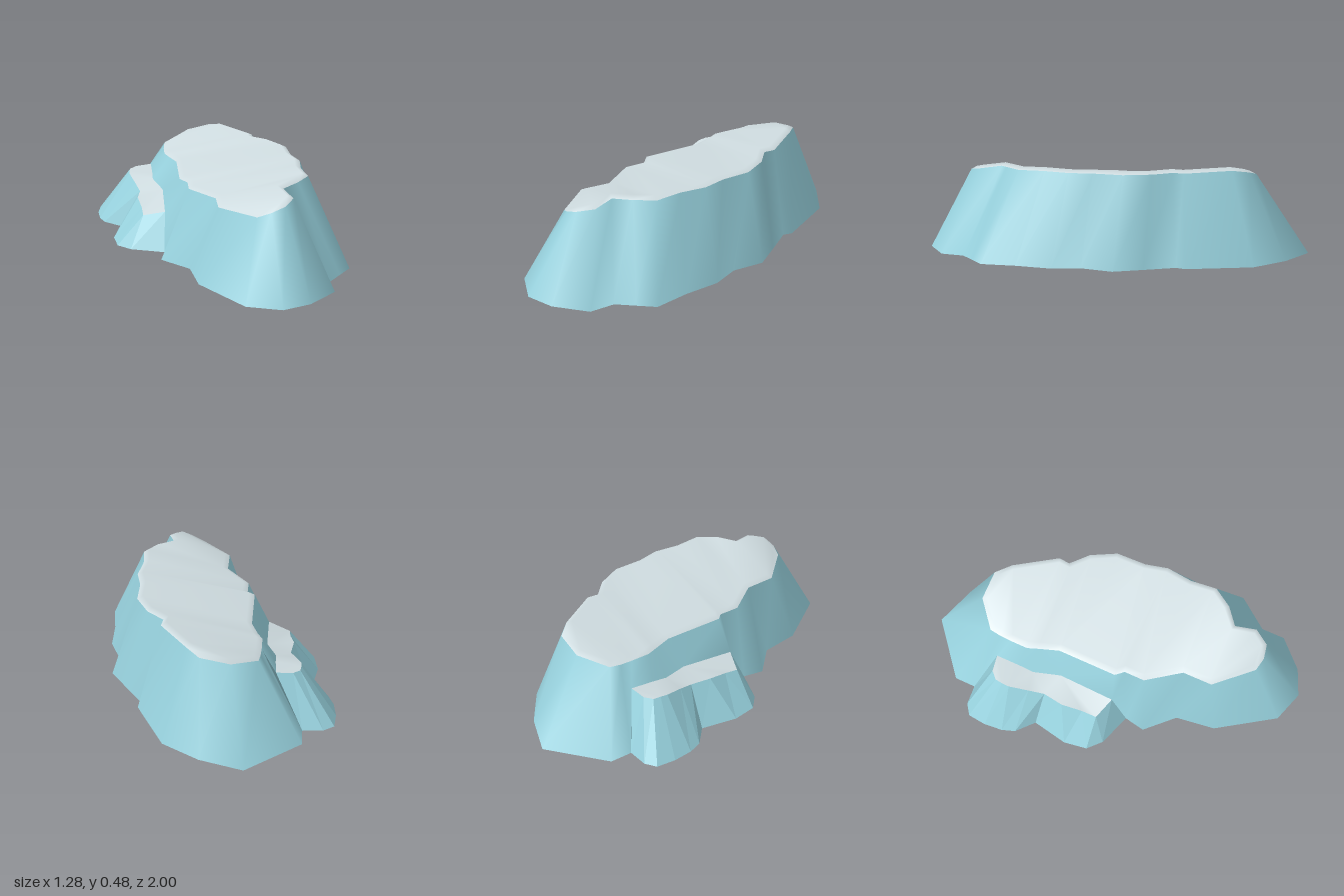
import * as THREE from 'three';

// Main outline, clockwise from the back: [rim x, rim z, rim y, foot x, foot z, foot y]
const OUTLINE = [
  [-0.12, -0.73, 0.42, -0.20, -1.00, 0],
  [0.03, -0.73, 0.45, 0.02, -0.93, 0],
  [0.10, -0.66, 0.465, 0.21, -0.81, 0],
  [0.245, -0.45, 0.46, 0.37, -0.50, 0],
  [0.24, -0.39, 0.46, 0.36, -0.45, 0],
  [0.33, -0.31, 0.46, 0.46, -0.31, 0],
  [0.40, -0.18, 0.46, 0.55, -0.18, 0],
  [0.405, -0.02, 0.46, 0.54, -0.01, 0],
  [0.435, 0.10, 0.46, 0.60, 0.13, 0],
  [0.42, 0.24, 0.46, 0.61, 0.32, 0],
  [0.435, 0.38, 0.46, 0.64, 0.50, 0],
  [0.37, 0.48, 0.46, 0.575, 0.585, 0],
  [0.285, 0.55, 0.45, 0.51, 0.67, 0],
  [0.32, 0.66, 0.435, 0.51, 0.80, 0],
  [0.27, 0.74, 0.42, 0.37, 0.94, 0],
  [0.20, 0.755, 0.395, 0.23, 1.00, 0],
  [0.135, 0.74, 0.37, 0.06, 0.945, 0],
  [-0.035, 0.56, 0.365, -0.14, 0.65, 0],
  [-0.035, 0.40, 0.36, -0.17, 0.44, 0],
  [-0.16, 0.23, 0.36, -0.31, 0.30, 0],
  [-0.16, 0.12, 0.36, -0.29, 0.19, 0],
];
// Stretch above the side ledge, where the wall stops at the ledge top
const ABOVE_LEDGE = [
  [-0.20, 0.08, 0.37, -0.28, 0.10, 0.195],
  [-0.20, -0.24, 0.37, -0.28, -0.20, 0.225],
  [-0.235, -0.34, 0.37, -0.33, -0.34, 0.245],
  [-0.26, -0.40, 0.375, -0.33, -0.42, 0.255],
  [-0.26, -0.50, 0.375, -0.335, -0.55, 0.272],
];
const BACK_CORNER = [
  [-0.257, -0.56, 0.375, -0.475, -0.65, 0],
  [-0.25, -0.62, 0.38, -0.475, -0.765, 0],
];
// Ledge outline, front to back, same columns
const LEDGE = [
  [-0.28, 0.10, 0.195, -0.29, 0.19, 0],
  [-0.395, 0.06, 0.165, -0.465, 0.13, 0],
  [-0.40, -0.02, 0.18, -0.535, 0.065, 0],
  [-0.42, -0.13, 0.205, -0.555, -0.06, 0],
  [-0.405, -0.24, 0.205, -0.52, -0.25, 0],
  [-0.43, -0.32, 0.23, -0.61, -0.33, 0],
  [-0.46, -0.42, 0.255, -0.635, -0.40, 0],
  [-0.46, -0.46, 0.26, -0.645, -0.50, 0],
  [-0.455, -0.50, 0.26, -0.635, -0.60, 0],
  [-0.42, -0.535, 0.265, -0.58, -0.64, 0],
  [-0.335, -0.55, 0.272, -0.475, -0.65, 0],
];

const top = (r) => new THREE.Vector3(r[0], r[2], r[1]);
const foot = (r) => new THREE.Vector3(r[3], r[5], r[4]);

function makeGeometry(points, index) {
  const geo = new THREE.BufferGeometry().setFromPoints(points);
  geo.setIndex(index);
  geo.computeVertexNormals();
  return geo;
}

// Quads between a lower ring (indices 0..n-1) and an upper ring (n..2n-1)
function bandIndex(n, closed) {
  const index = [];
  for (let i = 0; i < (closed ? n : n - 1); i++) {
    const j = (i + 1) % n;
    index.push(j, i, n + i, j, n + i, n + j);
  }
  return index;
}

// Triangles across two chains of points, both running from back to front
function bridgeIndex(points, left, right) {
  const index = [];
  let l = 0, r = 0;
  while (l < left.length - 1 || r < right.length - 1) {
    const stepLeft = r === right.length - 1 ||
      (l < left.length - 1 && points[left[l + 1]].z < points[right[r + 1]].z);
    if (stepLeft) index.push(left[l], left[l + 1], right[r]), l++;
    else index.push(left[l], right[r + 1], right[r]), r++;
  }
  return index;
}

// Moves a closed ring inward in plan and lifts it a little
function insetRing(ring, distance, lift) {
  const n = ring.length;
  return ring.map((p, i) => {
    const a = ring[(i + n - 1) % n], b = ring[(i + 1) % n];
    const dx = b.x - a.x, dz = b.z - a.z, len = Math.hypot(dx, dz);
    return new THREE.Vector3(p.x - (dz / len) * distance, p.y + lift, p.z + (dx / len) * distance);
  });
}

const range = (from, to) => Array.from({ length: to - from + 1 }, (_, i) => from + i);

export function createModel() {
  const ice = new THREE.MeshStandardMaterial({ color: 0x97d1dd, side: THREE.DoubleSide });
  ice.name = 'pale blue';
  const frost = new THREE.MeshStandardMaterial({ color: 0xcfdce0, side: THREE.DoubleSide });
  frost.name = 'pale grey';

  const group = new THREE.Group();
  group.name = 'rock';
  const add = (name, geo, material) => {
    const mesh = new THREE.Mesh(geo, material);
    mesh.name = name;
    group.add(mesh);
  };

  // Main sloping wall, open underneath
  const rows = [...OUTLINE, ...ABOVE_LEDGE, ...BACK_CORNER];
  const n = rows.length;
  const rim = rows.map(top);
  add('mainWall', makeGeometry([...rows.map(foot), ...rim], bandIndex(n, true)), ice);

  // Plateau with a softly rounded edge
  const plateau = [...rim, ...insetRing(rim, 0.03, 0.015)];
  const leftChain = [n, ...range(n + 16, 2 * n - 1).reverse()];
  const rightChain = range(n + 1, n + 15);
  add('plateau', makeGeometry(plateau, [
    ...bandIndex(n, true),
    ...bridgeIndex(plateau, leftChain, rightChain),
  ]), frost);

  // Faceted side ledge
  const m = LEDGE.length;
  const ledgeWall = makeGeometry([...LEDGE.map(foot), ...LEDGE.map(top)], bandIndex(m, false)).toNonIndexed();
  ledgeWall.computeVertexNormals();
  add('ledgeWall', ledgeWall, ice);

  // Ledge top, joining the ledge to the main wall
  const outer = LEDGE.map(top).reverse();
  const inner = ABOVE_LEDGE.map(foot).reverse();
  const ledgePoints = [...outer, ...inner];
  add('ledgeTop', makeGeometry(ledgePoints,
    bridgeIndex(ledgePoints, range(0, m - 1), range(m, m + inner.length - 1))), frost);

  return group;
}
